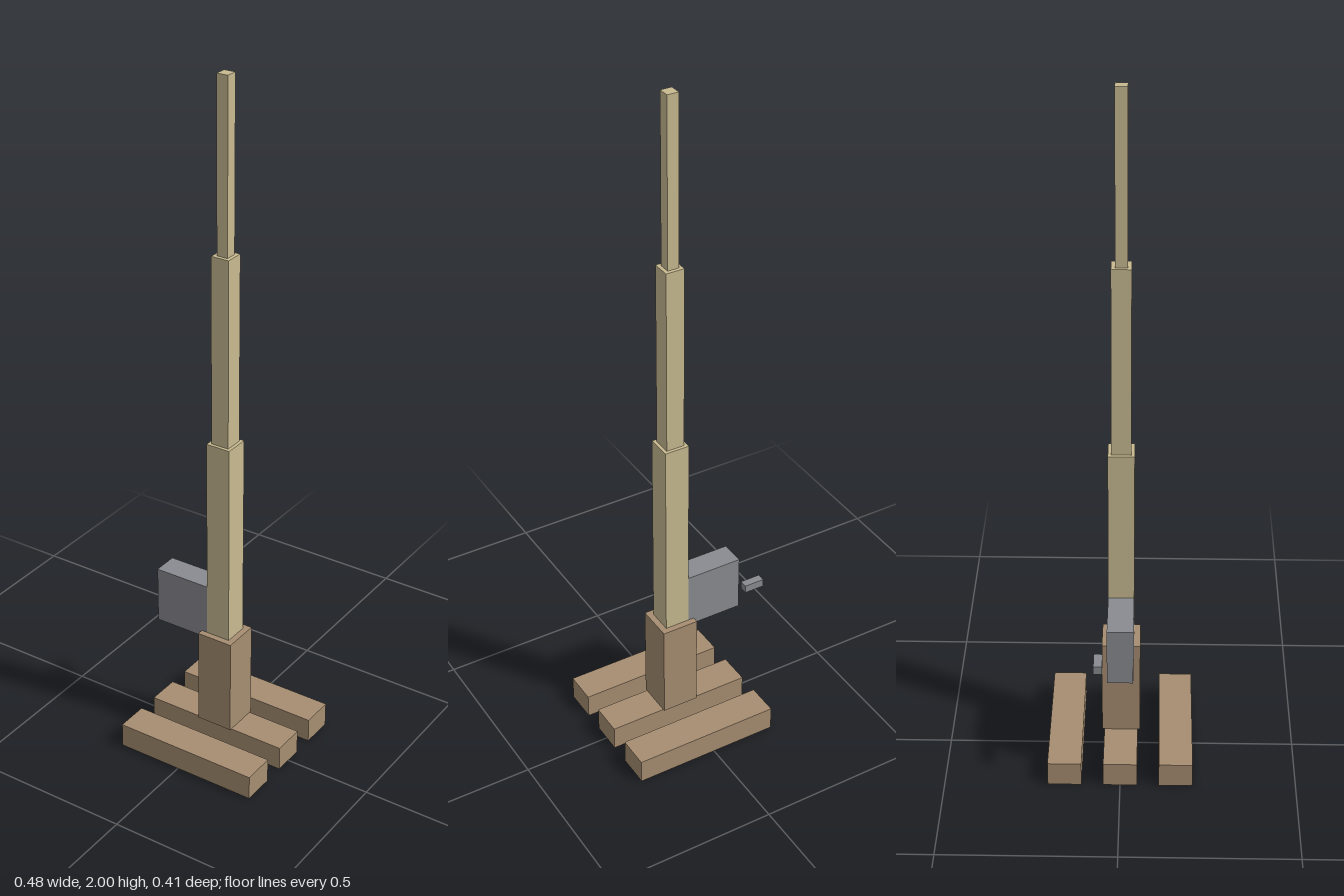
import * as THREE from 'three';

export function createModel() {
  const model = new THREE.Group();
  model.name = 'telescopicMast';

  const material = (name, color) => {
    const m = new THREE.MeshStandardMaterial({ color });
    m.name = name;
    return m;
  };
  const brown = material('brown', 0xa68d71);
  const khaki = material('khaki', 0xc8ba91);
  const grey = material('grey', 0x8a8b91);

  // Box given by its low and high limits on each axis
  const box = (name, mat, [x0, x1], [y0, y1], [z0, z1]) => {
    const mesh = new THREE.Mesh(new THREE.BoxGeometry(x1 - x0, y1 - y0, z1 - z0), mat);
    mesh.position.set((x0 + x1) / 2, (y0 + y1) / 2, (z0 + z1) / 2);
    mesh.name = name;
    model.add(mesh);
  };
  const around = (c, size) => [c - size / 2, c + size / 2];

  // Three parallel ground beams
  const axis = 0.0235;
  ['backBeam', 'middleBeam', 'frontBeam'].forEach((name, i) =>
    box(name, brown, [-0.195, 0.242], [0, 0.073], around((i - 1) * 0.158, 0.096)));

  // Post and the stepped mast sections above it
  const sections = [
    ['basePost', brown, 0.109, 0.073, 0.366],
    ['lowerMast', khaki, 0.073, 0.366, 0.973],
    ['middleMast', khaki, 0.054, 0.973, 1.518],
    ['upperMast', khaki, 0.033, 1.518, 2],
  ];
  for (const [name, mat, width, y0, y1] of sections)
    box(name, mat, around(axis, width), [y0, y1], around(0, width));

  // Winch housing on the mast's right, with its crank handle set off behind
  box('winchHousing', grey, [-0.182, -0.013], [0.348, 0.518], around(0, 0.073));
  box('crankHandle', grey, [-0.242, -0.182], [0.421, 0.445], around(-0.06, 0.024));

  return model;
}
